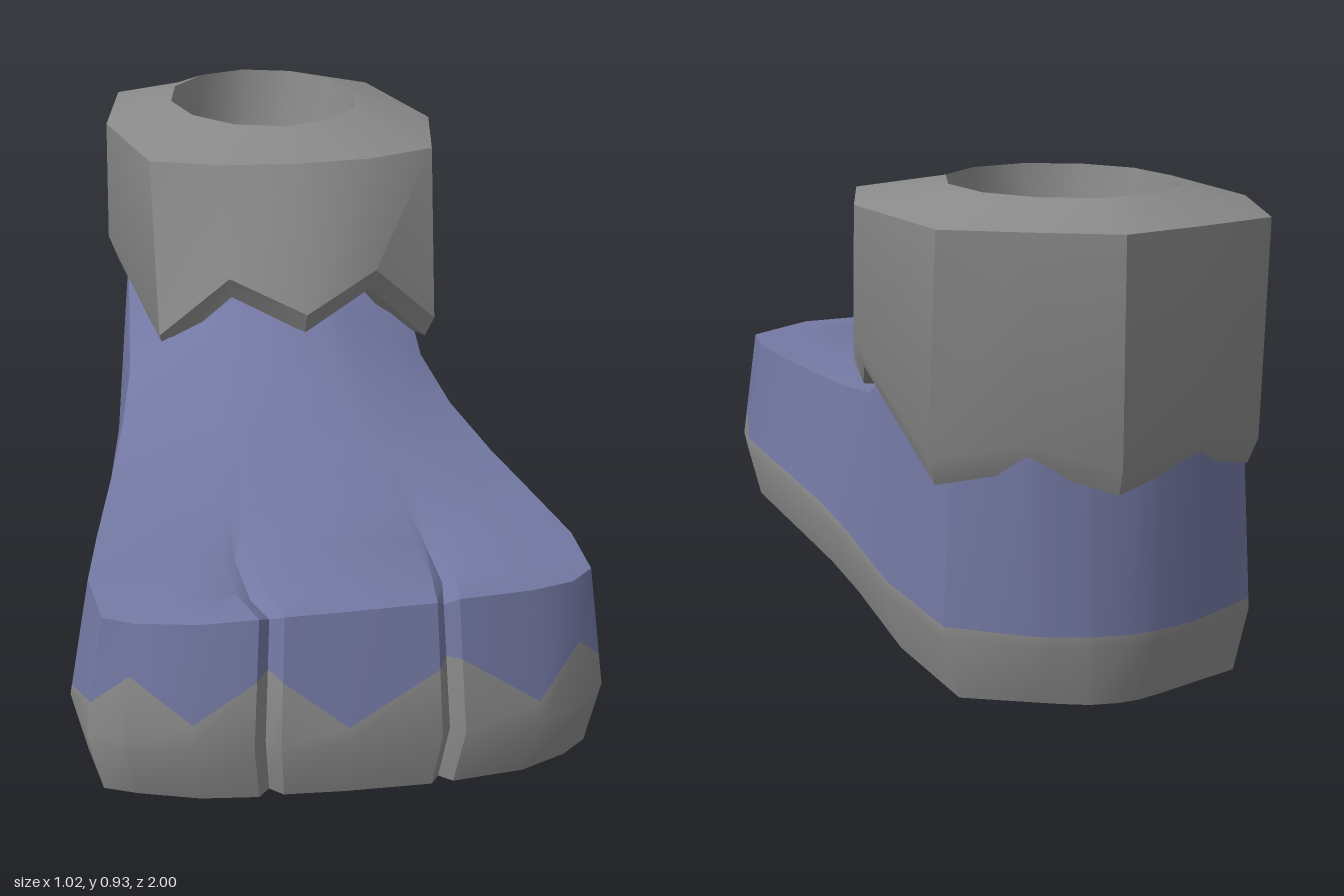
import * as THREE from 'three';
import { toCreasedNormals } from 'three/addons/utils/BufferGeometryUtils.js';

const lerp = THREE.MathUtils.lerp;

// Collects quads and fans into one geometry, one group per material slot.
class Skin {
  constructor() { this.slots = [[], []]; }
  quad(slot, a, b, c, d) { this.slots[slot].push(...a, ...b, ...c, ...a, ...c, ...d); }
  // Closed wall between two rings, seen from outside when the ring runs +x along the front
  loft(slot, low, high) {
    low.forEach((p, i) => {
      const k = (i + 1) % low.length;
      this.quad(slot, p, low[k], high[k], high[i]);
    });
  }
  cap(slot, ring, centre) {
    ring.forEach((p, i) => this.slots[slot].push(...centre, ...p, ...ring[(i + 1) % ring.length]));
  }
  build(crease) {
    const geo = new THREE.BufferGeometry();
    geo.setAttribute('position', new THREE.Float32BufferAttribute(this.slots.flat(), 3));
    let start = 0;
    this.slots.forEach((s, i) => {
      if (s.length) geo.addGroup(start, s.length / 3, i);
      start += s.length / 3;
    });
    return toCreasedNormals(geo, crease);
  }
}

// Toe front, per column: x, z, rim height, height where the colour changes
const toes = [
  [-0.44, 0.93, 0.355, 0.255], [-0.32, 0.97, 0.362, 0.17], [-0.205, 0.985, 0.37, 0.25],
  [-0.18, 0.96, 0.355, 0.26], [-0.155, 0.985, 0.37, 0.245], [-0.03, 0.995, 0.375, 0.15],
  [0.145, 1.0, 0.38, 0.25], [0.165, 0.975, 0.362, 0.262], [0.19, 0.998, 0.382, 0.265],
  [0.34, 0.985, 0.38, 0.16], [0.44, 0.945, 0.37, 0.25],
];
// Rows toward the heel: z, right x, left x, right rim y, left rim y, centre y, rim inset
const rows = [
  [0, -0.44, 0.44, 0, 0, 0, 0.03],
  [0.87, -0.5, 0.495, 0.357, 0.37, 0.387, 0.035],
  [0.72, -0.513, 0.51, 0.36, 0.372, 0.391, 0.04],
  [0.55, -0.48, 0.495, 0.368, 0.376, 0.398, 0.045],
  [0.33, -0.435, 0.475, 0.385, 0.385, 0.42, 0.055],
  [0.1, -0.385, 0.455, 0.41, 0.4, 0.47, 0.06],
  [-0.12, -0.34, 0.445, 0.44, 0.43, 0.58, 0.06],
  [-0.5, -0.265, 0.44, 0.58, 0.58, 0.61, 0.035],
  [-0.8, -0.2, 0.4, 0.53, 0.53, 0.56, 0.02],
  [-0.9, -0.05, 0.26, 0.5, 0.5, 0.53, -0.01],
];
const last = rows.length - 1, cols = toes.length - 1;
const across = j => (toes[j][0] + 0.44) / 0.88;

// Foot point at row i, column j, pulled in by d, at height y
function at(i, j, d, y) {
  const [rowZ, xr, xl] = rows[i], t = across(j);
  let z = rowZ;
  if (i === 0) z = toes[j][1] - d;
  if (i === last) z = rowZ - 0.04 * Math.sin(Math.PI * t) + d;
  return [lerp(xr + d, xl - d, t), y, z];
}
function topY(i, j) {
  if (i === 0) return toes[j][2];
  const [, , , yr, yl, yc] = rows[i], t = across(j);
  const groove = (j === 3 || j === 7) ? [0, 0.016, 0.01][i] || 0 : 0;
  const edge = lerp(yr, yl, t);
  return edge + (yc - edge) * Math.sin(Math.PI * t) - groove;
}
const splitY = (i, j) => i === 0 ? toes[j][3] : i === 1 ? 0.185 : 0.14;

function makeFoot() {
  const skin = new Skin();
  // Outline around the grid: toes, left side, heel, right side
  const edge = [];
  for (let j = 0; j <= cols; j++) edge.push([0, j]);
  for (let i = 1; i < last; i++) edge.push([i, cols]);
  for (let j = cols; j >= 0; j--) edge.push([last, j]);
  for (let i = last - 1; i > 0; i--) edge.push([i, 0]);
  const ring = f => edge.map(([i, j]) => at(i, j, ...f(i, j)));

  const inner = ring(() => [0.05, 0]);
  const sole = ring(() => [0.03, 0]);
  const wide = ring(() => [0, 0.12]);
  const split = ring((i, j) => {
    const y = splitY(i, j);
    return [rows[i][6] * (y - 0.12) / (topY(i, j) - 0.12), y];
  });
  const rim = ring((i, j) => [rows[i][6], topY(i, j)]);
  skin.loft(0, inner, sole);
  skin.loft(0, sole, wide);
  skin.loft(0, wide, split);
  skin.loft(1, split, rim);

  // Instep and underside
  for (let i = 0; i < last; i++) for (let j = 0; j < cols; j++) {
    const corners = [[i, j], [i, j + 1], [i + 1, j + 1], [i + 1, j]];
    skin.quad(1, ...corners.map(([r, c]) => at(r, c, rows[r][6], topY(r, c))));
    skin.quad(1, ...corners.reverse().map(([r, c]) => at(r, c, 0.05, 0)));
  }
  return skin.build(0.6);
}

function makeCuff() {
  const skin = new Skin();
  // Zigzag hem and shoulder, from the front round by the left side
  const hem = [
    [0.1, 0.58, -0.02], [0.27, 0.65, -0.09], [0.42, 0.51, -0.14], [0.495, 0.62, -0.5],
    [0.43, 0.46, -0.82], [0.27, 0.5, -0.92], [0.12, 0.46, -0.99], [-0.05, 0.5, -0.93],
    [-0.2, 0.46, -0.83], [-0.27, 0.615, -0.55], [-0.21, 0.51, -0.14], [-0.06, 0.65, -0.09],
  ];
  const shoulder = [
    [0.1, -0.17], [0.27, -0.18], [0.43, -0.24], [0.49, -0.5], [0.42, -0.85], [0.27, -0.93],
    [0.12, -1], [-0.04, -0.94], [-0.2, -0.87], [-0.265, -0.58], [-0.21, -0.25], [-0.06, -0.19],
  ].map(([x, z]) => [x, 0.88, z]);
  const inset = (s, drop) => hem.map(([x, y, z]) =>
    [0.11 + (x - 0.11) * s, y - drop, -0.55 + (z + 0.55) * s]);
  const oval = (rx, rz, y) => hem.map((_, i) => {
    const a = i * Math.PI / 6;
    return [0.11 + rx * Math.sin(a), y, -0.59 + rz * Math.cos(a)];
  });
  const mouth = oval(0.22, 0.27, 0.925), floor = oval(0.17, 0.215, 0.66);
  skin.loft(0, inset(0.75, 0.04), inset(0.95, 0.05));
  skin.loft(0, inset(0.95, 0.05), hem);
  skin.loft(0, hem, shoulder);
  skin.loft(0, shoulder, mouth);
  skin.loft(0, mouth, floor);
  skin.cap(0, floor, [0.11, 0.66, -0.59]);
  return skin.build(0.65);
}

export function createModel() {
  const grey = new THREE.MeshStandardMaterial({ color: 0x8a8a8a });
  grey.name = 'grey';
  const blue = new THREE.MeshStandardMaterial({ color: 0x7378a3 });
  blue.name = 'dusty blue';

  const group = new THREE.Group();
  group.name = 'boot';
  const foot = new THREE.Mesh(makeFoot(), [grey, blue]);
  foot.name = 'foot';
  const cuff = new THREE.Mesh(makeCuff(), [grey, blue]);
  cuff.name = 'ankleCuff';
  group.add(foot, cuff);
  return group;
}
